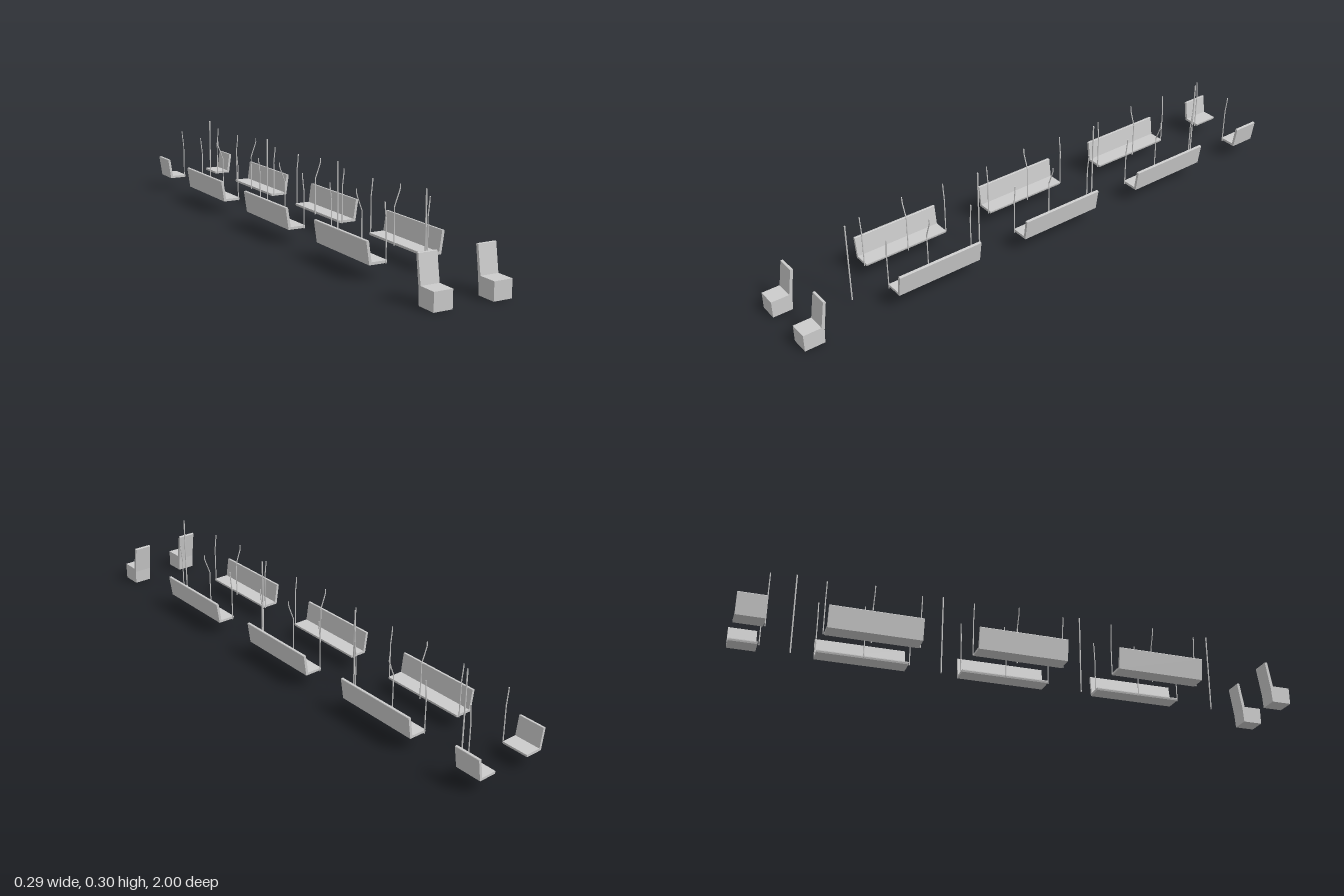
import * as THREE from 'three';

const material = new THREE.MeshStandardMaterial({ color: 0xcccccc, flatShading: true });
const poleMaterial = new THREE.MeshStandardMaterial({ color: 0xcccccc });

// Extrudes a 2D outline along z, from z = 0 to z = length
function extrude(points, length) {
  const shape = new THREE.Shape(points.map(([x, y]) => new THREE.Vector2(x, y)));
  return new THREE.ExtrudeGeometry(shape, { depth: length, bevelEnabled: false });
}

// Round bar through a list of [x, y] points, as straight sections
function makePole(name, points, radius, z) {
  const pole = new THREE.Group();
  pole.name = name;
  for (let i = 0; i < points.length - 1; i++) {
    const a = new THREE.Vector3(...points[i], 0);
    const b = new THREE.Vector3(...points[i + 1], 0);
    const dir = b.clone().sub(a);
    const bar = new THREE.Mesh(new THREE.CylinderGeometry(radius, radius, dir.length(), 8), poleMaterial);
    bar.name = name + 'Section';
    bar.position.copy(a).add(b).multiplyScalar(0.5);
    bar.quaternion.setFromUnitVectors(new THREE.Vector3(0, 1, 0), dir.normalize());
    pole.add(bar);
  }
  pole.position.z = z;
  return pole;
}

// Bench cross-sections on the +x side
const SEAT = [[0.071, 0.05], [0.134, 0.05], [0.134, 0.059], [0.069, 0.059], [0.069, 0.056]];
const BACK = [[0.126, 0.059], [0.134, 0.05], [0.1455, 0.126], [0.1445, 0.128], [0.137, 0.129], [0.136, 0.128]];
const END_POLE = [[0.077, 0.05], [0.077, 0.182], [0.0825, 0.23], [0.083, 0.244]];
const MID_POLE = [[0.062, 0.05], [0.062, 0.182], [0.08, 0.23], [0.083, 0.24], [0.083, 0.255]];

function makeBench(side, zBack, zFront) {
  const bench = new THREE.Group();
  bench.name = 'bench';
  for (const [name, outline] of [['benchSeat', SEAT], ['benchBackrest', BACK]]) {
    const points = outline.map(([x, y]) => [side * x - 0.001, y]);
    const mesh = new THREE.Mesh(extrude(points, zFront - zBack), material);
    mesh.name = name;
    mesh.position.z = zBack;
    bench.add(mesh);
  }
  return bench;
}

// Single seat with a solid base and a leaning back, facing +z
function makeDriverSeat(x) {
  const seat = new THREE.Group();
  seat.name = 'driverSeat';
  const outlines = {
    driverSeatBase: [[0.93, 0], [1, 0], [1, 0.061], [0.935, 0.061]],
    driverSeatBackrest: [[0.93, 0], [0.935, 0.061], [0.92, 0.154], [0.918, 0.155], [0.911, 0.154], [0.91, 0.152], [0.925, 0.05], [0.928, 0]],
  };
  for (const [name, outline] of Object.entries(outlines)) {
    // outline x becomes world z, extrusion runs across the seat
    const geometry = extrude(outline.map(([z, y]) => [-z, y]), 0.066).rotateY(Math.PI / 2);
    const mesh = new THREE.Mesh(geometry, material);
    mesh.name = name;
    seat.add(mesh);
  }
  seat.position.x = x - 0.033;
  return seat;
}

export function createModel() {
  const model = new THREE.Group();
  model.name = 'carriageInterior';
  const mirror = (points, side) => points.map(([x, y]) => [side * x - 0.0005, y]);

  // Long benches along both walls with their grab poles
  for (const side of [-1, 1]) {
    for (const z of [0.489, -0.027, -0.543]) {
      model.add(makeBench(side, z - 0.161, z + 0.161));
      model.add(makePole('middleGrabPole', mirror(MID_POLE, side), 0.002, z));
      for (const end of [-0.165, 0.165]) {
        model.add(makePole('endGrabPole', mirror(END_POLE, side), 0.002, z + end));
      }
    }
    // Short bench at the back
    model.add(makeBench(side, -1, -0.902));
    model.add(makePole('endGrabPole', mirror(END_POLE, side), 0.002, -0.897));
  }

  // Aisle poles
  for (const z of [0.752, 0.235, -0.283, -0.8]) {
    model.add(makePole('aislePole', [[-0.0005, 0.002], [-0.0005, 0.295]], 0.0026, z));
  }

  // Front seats
  model.add(makeDriverSeat(-0.111), makeDriverSeat(0.1005));
  return model;
}
